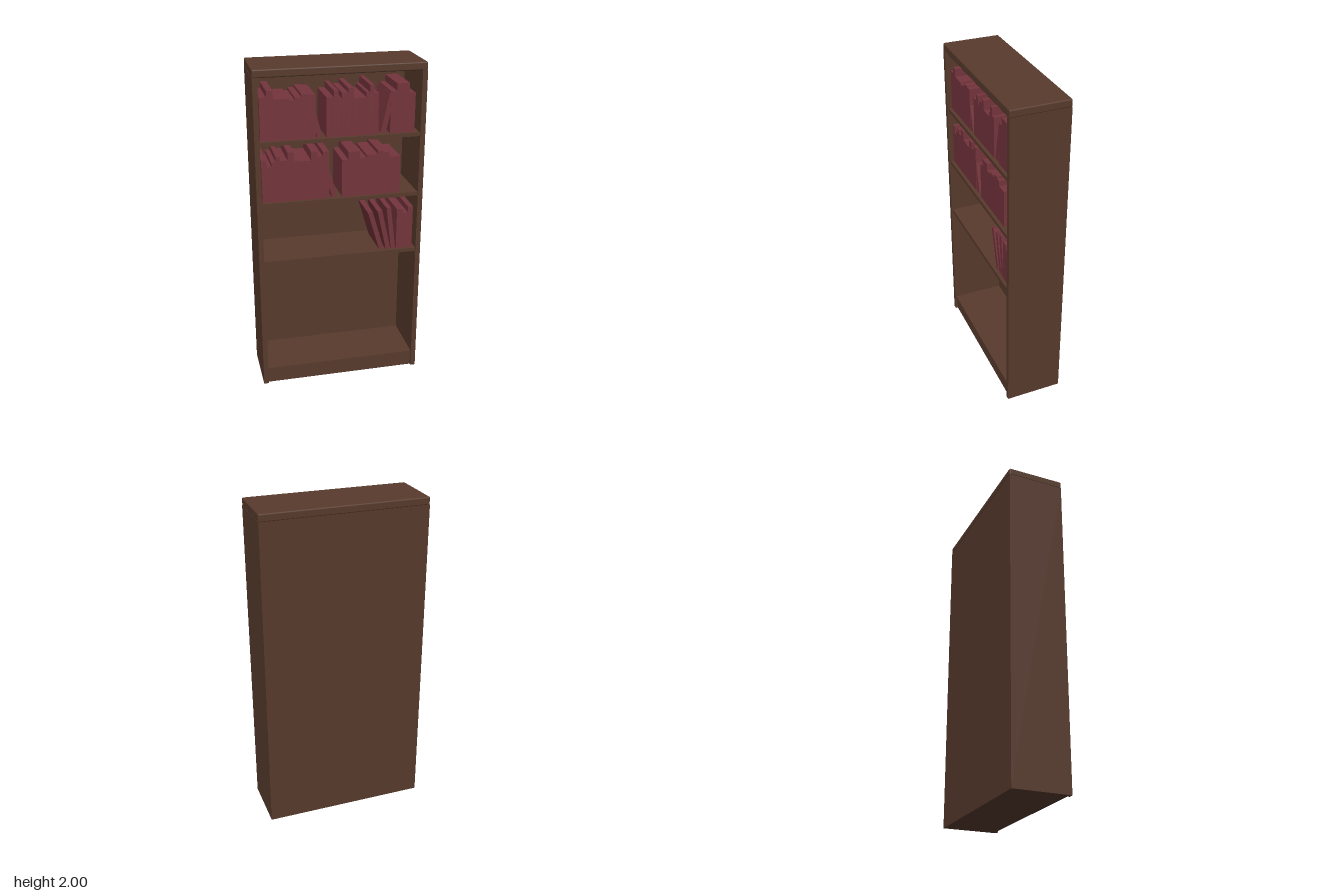
import * as THREE from 'three';
import { RoundedBoxGeometry } from 'three/addons/geometries/RoundedBoxGeometry.js';

const wood = new THREE.MeshStandardMaterial({ color: 0x573a2c });
wood.name = 'brown wood';
const cover = new THREE.MeshStandardMaterial({ color: 0x74343c });
cover.name = 'burgundy cover';

const BOOK_FRONT = 0.147;
const BOOK_DEPTH = 0.25;

// Box given by its minimum and maximum corners
function block(name, material, [x0, y0, z0], [x1, y1, z1]) {
  const mesh = new THREE.Mesh(new THREE.BoxGeometry(x1 - x0, y1 - y0, z1 - z0), material);
  mesh.position.set((x0 + x1) / 2, (y0 + y1) / 2, (z0 + z1) / 2);
  mesh.name = name;
  return mesh;
}

// Upright books side by side, each [width, height]
function bookRun(startX, shelfY, sizes) {
  const run = new THREE.Group();
  run.name = 'uprightBooks';
  let x = startX;
  for (const [w, h] of sizes) {
    run.add(block('book', cover, [x, shelfY, BOOK_FRONT - BOOK_DEPTH], [x + w, shelfY + h, BOOK_FRONT]));
    x += w;
  }
  return run;
}

// Book tilted about its lowest corner; positive angles lean toward -x
function leaningBook(pivotX, shelfY, angle, width, height) {
  const geometry = new THREE.BoxGeometry(width, height, BOOK_DEPTH);
  geometry.translate(Math.sign(angle) * width / 2, height / 2, 0);
  const mesh = new THREE.Mesh(geometry, cover);
  mesh.rotation.z = angle;
  mesh.position.set(pivotX, shelfY, BOOK_FRONT - BOOK_DEPTH / 2 - 0.002);
  mesh.name = 'leaningBook';
  return mesh;
}

export function createModel() {
  const model = new THREE.Group();
  model.name = 'bookcase';

  // Carcass
  for (const [name, x] of [['leftSide', 0.47], ['rightSide', -0.5]]) {
    model.add(block(name, wood, [x, 0, -0.175], [x + 0.03, 1.955, 0.175]));
  }
  model.add(block('backPanel', wood, [-0.47, 0, -0.175], [0.47, 1.955, -0.163]));
  model.add(block('plinth', wood, [-0.47, 0, -0.163], [0.47, 0.08, 0.16]));
  const top = new THREE.Mesh(new RoundedBoxGeometry(1, 0.047, 0.352, 2, 0.008), wood);
  top.position.y = 1.9765;
  top.name = 'topBoard';
  model.add(top);

  // Shelves, given by their upper surfaces
  const [, low, middle, high] = [0.105, 0.848, 1.217, 1.587].map((y) => {
    model.add(block('shelf', wood, [-0.47, y - 0.022, -0.163], [0.47, y, 0.167]));
    return y;
  });

  // Highest shelf of books
  model.add(
    bookRun(-0.463, high, [[0.042, 0.249], [0.037, 0.286], [0.045, 0.238], [0.045, 0.238],
      [0.032, 0.228], [0.037, 0.243], [0.04, 0.259], [0.04, 0.254]]),
    leaningBook(-0.135, high, 0.255, 0.03, 0.25),
    bookRun(-0.082, high, [[0.042, 0.233], [0.026, 0.27], [0.021, 0.222], [0.037, 0.254], [0.032, 0.28],
      [0.037, 0.222], [0.037, 0.222], [0.021, 0.249], [0.026, 0.291], [0.026, 0.243]]),
    leaningBook(0.267, high, -0.22, 0.03, 0.24),
    bookRun(0.294, high, [[0.037, 0.249], [0.037, 0.291], [0.037, 0.291], [0.037, 0.233]]),
  );

  // Middle shelf of books
  model.add(
    bookRun(-0.463, middle, [[0.032, 0.259], [0.026, 0.217], [0.026, 0.243], [0.026, 0.275], [0.042, 0.249],
      [0.037, 0.296], [0.037, 0.243], [0.032, 0.238], [0.032, 0.238], [0.037, 0.291], [0.032, 0.259],
      [0.037, 0.286]]),
    leaningBook(-0.05, middle, 0.25, 0.03, 0.22),
    bookRun(0.01, middle, [[0.037, 0.228], [0.034, 0.275], [0.034, 0.275], [0.042, 0.233], [0.034, 0.249],
      [0.034, 0.249], [0.037, 0.27], [0.032, 0.259], [0.034, 0.228], [0.034, 0.228]]),
  );

  // Lowest shelf of books
  model.add(
    leaningBook(0.246, low, 0.29, 0.029, 0.26),
    leaningBook(0.288, low, 0.22, 0.029, 0.26),
    leaningBook(0.32, low, 0.12, 0.028, 0.272),
    bookRun(0.352, low, [[0.037, 0.259], [0.032, 0.233], [0.032, 0.27]]),
  );

  return model;
}
